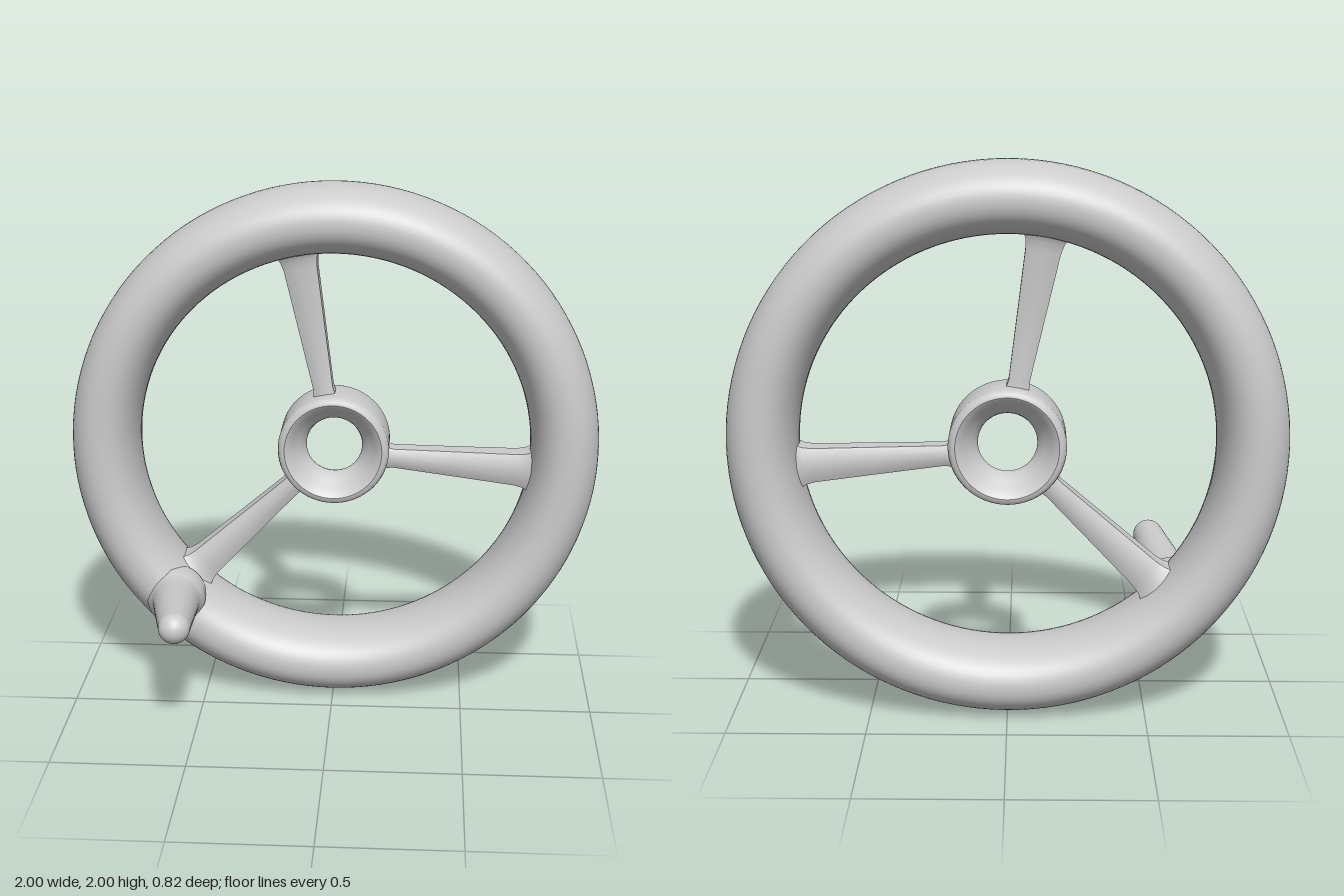
import * as THREE from 'three';
import { toCreasedNormals } from 'three/addons/utils/BufferGeometryUtils.js';

const WHEEL_Z = -0.22;
const V2 = (x, y) => new THREE.Vector2(x, y);

// Box-like spoke section with bowed front and back, as [across, depth] factors.
const SECTION = [
  [1, -0.72], [1, 0.72], [0.6, 0.9], [0, 1], [-0.6, 0.9],
  [-1, 0.72], [-1, -0.72], [-0.6, -0.9], [0, -1], [0.6, -0.9],
];

// Stations along a spoke: position from hub (0) to rim (1), half width, half depth.
const STATIONS = [
  [-0.12, 0.045, 0.05], [0, 0.041, 0.046], [0.05, 0.037, 0.043], [0.5, 0.05, 0.048],
  [0.9, 0.062, 0.054], [0.96, 0.068, 0.058], [1, 0.078, 0.066], [1.04, 0.095, 0.08],
];

function spokeGeometry([x0, y0], [x1, y1]) {
  const dir = V2(x1 - x0, y1 - y0);
  const side = V2(-dir.y, dir.x).normalize();
  const pos = [], index = [], n = SECTION.length;
  STATIONS.forEach(([t, w, d], i) => {
    SECTION.forEach(([u, v], j) => {
      pos.push(x0 + dir.x * t + side.x * u * w, y0 + dir.y * t + side.y * u * w, v * d);
      if (i === STATIONS.length - 1) return;
      const a = i * n + j, b = i * n + (j + 1) % n;
      index.push(a, b, b + n, a, b + n, a + n);
    });
  });
  const geo = new THREE.BufferGeometry();
  geo.setAttribute('position', new THREE.Float32BufferAttribute(pos, 3));
  geo.setIndex(index);
  return toCreasedNormals(geo, 0.6);
}

// Rim: slightly squared oval swept round the axis.
function rimGeometry() {
  const profile = [], k = 2 / 2.15;
  const soft = (c) => Math.sign(c) * Math.pow(Math.abs(c), k);
  for (let i = 0; i <= 48; i++) {
    const t = Math.PI + (i / 48) * Math.PI * 2;
    profile.push(V2(0.872 + 0.128 * soft(Math.cos(t)), 0.19 * soft(Math.sin(t))));
  }
  return new THREE.LatheGeometry(profile, 128).rotateX(Math.PI / 2);
}

// Hub: ring with rounded outer edges and a bore flaring to both faces.
function hubGeometry() {
  const half = [
    [0.21, 0], [0.21, 0.08], [0.206, 0.094], [0.196, 0.104], [0.184, 0.106],
    [0.174, 0.1], [0.155, 0.075], [0.13, 0.045], [0.112, 0.02], [0.106, 0],
  ];
  const lower = half.slice(0, -1).reverse().map(([r, y]) => V2(r, -y));
  const profile = [V2(0.106, 0), ...lower, ...half.slice(1).map(([r, y]) => V2(r, y))];
  return toCreasedNormals(new THREE.LatheGeometry(profile, 64).rotateX(Math.PI / 2), 0.7);
}

// Handle: tapered grip with a flared foot and a domed tip.
function handleGeometry(length) {
  const profile = [V2(0.115, 0), V2(0.112, 0.06), V2(0.098, 0.085), V2(0.09, 0.11), V2(0.086, 0.15)];
  const tip = 0.058;
  for (let i = 0; i <= 12; i++) {
    const a = (i / 12) * Math.PI / 2;
    profile.push(V2(tip * Math.cos(a), length - tip + tip * Math.sin(a)));
  }
  return new THREE.LatheGeometry(profile, 40);
}

export function createModel() {
  const model = new THREE.Group();
  model.name = 'handwheel';
  const material = new THREE.MeshStandardMaterial({ color: 0xcccccc });
  const add = (parent, name, geometry) => {
    const mesh = new THREE.Mesh(geometry, material);
    mesh.name = name;
    parent.add(mesh);
    return mesh;
  };

  // Wheel
  const wheel = new THREE.Group();
  wheel.name = 'wheel';
  wheel.position.set(0, 1, WHEEL_Z);
  model.add(wheel);
  add(wheel, 'rim', rimGeometry());
  add(wheel, 'hub', hubGeometry());

  // Three unevenly spaced spokes
  add(wheel, 'upperSpoke', spokeGeometry([-0.036, 0.2], [-0.133, 0.74]));
  add(wheel, 'leftSpoke', spokeGeometry([0.2, -0.042], [0.745, -0.083]));
  add(wheel, 'lowerSpoke', spokeGeometry([-0.144, -0.147], [-0.535, -0.518]));

  // Crank handle leaning in from the front of the rim
  const foot = new THREE.Vector3(-0.61, 0.405, -0.12);
  const top = new THREE.Vector3(-0.542, 0.487, 0.405);
  const axis = top.clone().sub(foot);
  const handle = add(model, 'handle', handleGeometry(axis.length()));
  handle.position.copy(foot);
  handle.quaternion.setFromUnitVectors(new THREE.Vector3(0, 1, 0), axis.normalize());

  return model;
}
